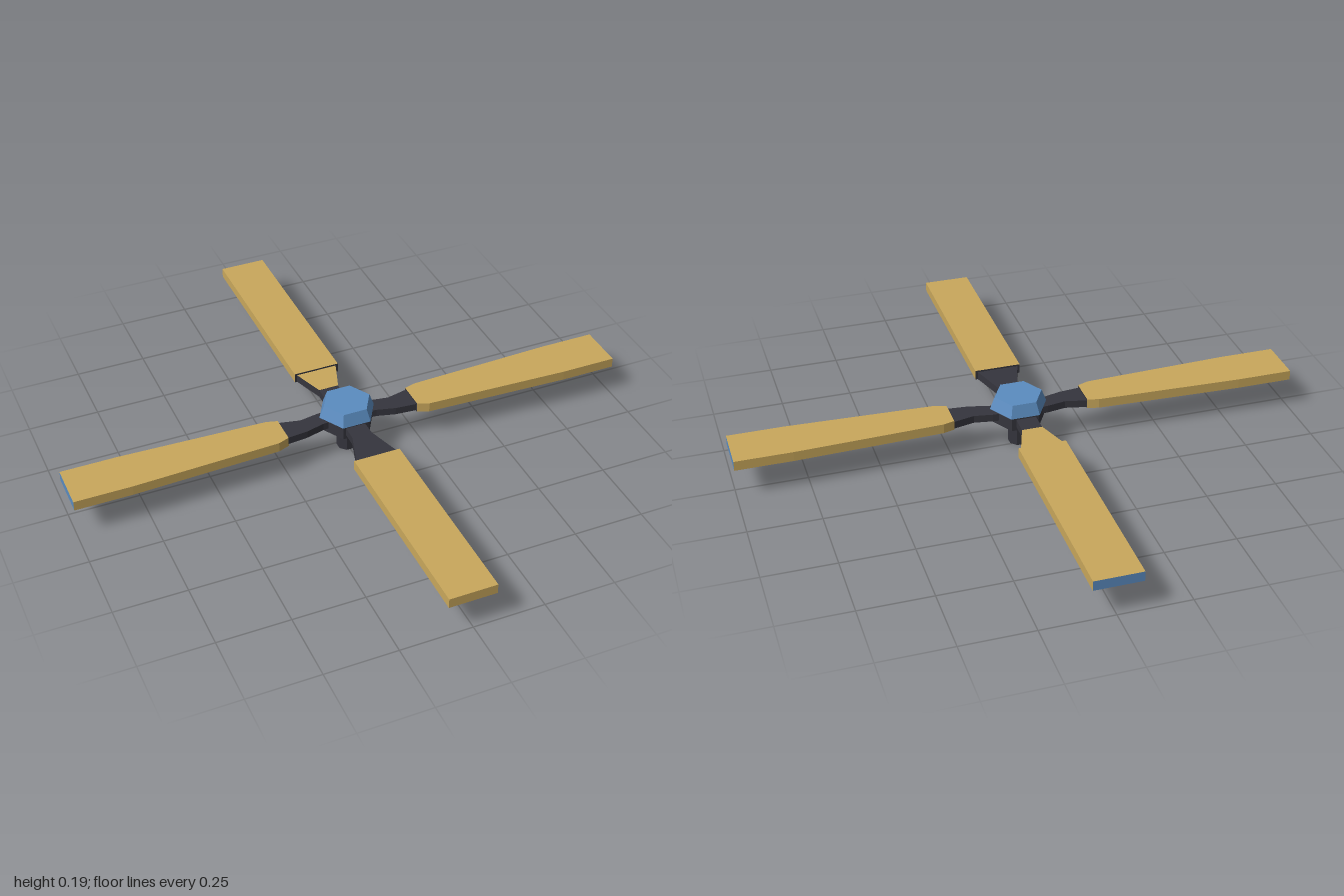
import * as THREE from 'three';

const mat = (name, color) => {
  const m = new THREE.MeshStandardMaterial({ color });
  m.name = name;
  return m;
};

// Flat bar running along +z. Each station is [distance, halfWidth, sideShift].
// mats: top, underside, long sides, outer end, inner end.
function bar(name, stations, y0, y1, mats) {
  const pos = [];
  const geo = new THREE.BufferGeometry();
  const point = (i, side, y) => {
    const [d, half, shift = 0] = stations[i];
    return [shift + side * half, y, d];
  };
  const quad = (a, b, c, d) => [a, b, c, a, c, d].forEach((p) => pos.push(...p));
  const group = (index, build) => {
    const start = pos.length / 3;
    build();
    geo.addGroup(start, pos.length / 3 - start, index);
  };
  const last = stations.length - 1;
  const along = (fn) => { for (let i = 0; i < last; i++) fn(i, i + 1); };

  group(0, () => along((i, j) =>
    quad(point(i, -1, y1), point(j, -1, y1), point(j, 1, y1), point(i, 1, y1))));
  group(1, () => along((i, j) =>
    quad(point(i, 1, y0), point(j, 1, y0), point(j, -1, y0), point(i, -1, y0))));
  group(2, () => along((i, j) => {
    quad(point(i, 1, y0), point(i, 1, y1), point(j, 1, y1), point(j, 1, y0));
    quad(point(i, -1, y0), point(j, -1, y0), point(j, -1, y1), point(i, -1, y1));
  }));
  group(3, () =>
    quad(point(last, -1, y0), point(last, 1, y0), point(last, 1, y1), point(last, -1, y1)));
  group(4, () =>
    quad(point(0, 1, y0), point(0, -1, y0), point(0, -1, y1), point(0, 1, y1)));

  geo.setAttribute('position', new THREE.Float32BufferAttribute(pos, 3));
  geo.computeVertexNormals();
  const mesh = new THREE.Mesh(geo, mats);
  mesh.name = name;
  return mesh;
}

export function createModel() {
  const tan = mat('tan wood', 0xc9a85c);
  const blue = mat('blue metal', 0x5b8cc0);
  const dark = mat('dark metal', 0x35353d);
  const brown = mat('brown underside', 0x4f3019);
  const model = new THREE.Group();
  model.name = 'rotor';
  const hubZ = 0.018;

  // Hub: hexagonal cap, body and shaft
  const drum = (name, rTop, rBottom, y0, y1, sides, material, turn) => {
    const geo = new THREE.CylinderGeometry(rTop, rBottom, y1 - y0, sides).toNonIndexed();
    geo.rotateY(turn);
    geo.computeVertexNormals();
    const mesh = new THREE.Mesh(geo, material);
    mesh.name = name;
    mesh.position.set(0, (y0 + y1) / 2, hubZ);
    model.add(mesh);
  };
  drum('hubCap', 0.085, 0.102, 0.145, 0.19, 6, blue, Math.PI / 6);
  drum('hubBody', 0.097, 0.097, 0.095, 0.145, 6, dark, Math.PI / 6);
  drum('shaft', 0.036, 0.036, 0, 0.097, 8, dark, Math.PI / 8);

  // Left and right: tapered blades on waisted arms
  for (const s of [1, -1]) {
    const side = new THREE.Group();
    side.name = s > 0 ? 'leftBlade' : 'rightBlade';
    side.rotation.y = s * Math.PI / 2;
    const c = (z) => -s * z;
    side.add(
      bar('blade', [[0.24, 0.05, c(0.029)], [0.28, 0.063, c(0.031)],
        [0.8, 0.083, c(0.032)], [1, 0.083, c(0.032)]],
      0.11, 0.145, [tan, brown, tan, blue, dark]),
      bar('arm', [[0.05, 0.03, c(0.015)], [0.1, 0.03, c(0.018)],
        [0.165, 0.033, c(0.032)], [0.242, 0.045, c(0.027)]],
      0.112, 0.139, [dark, dark, dark, dark, dark]),
    );
    model.add(side);
  }

  // Front and back: straight blades on flared arms
  const front = new THREE.Group();
  front.name = 'frontBlade';
  front.add(
    bar('blade', [[0.28, 0.083], [0.995, 0.083]], 0.11, 0.145,
      [tan, brown, tan, tan, dark]),
    bar('arm', [[0.07, 0.035], [0.155, 0.036], [0.235, 0.06], [0.282, 0.075]],
      0.11, 0.139, [dark, dark, dark, dark, dark]),
  );
  const back = new THREE.Group();
  back.name = 'backBlade';
  back.rotation.y = Math.PI;
  back.add(
    bar('blade', [[0.248, 0.083], [1, 0.083]], 0.11, 0.145,
      [tan, brown, tan, blue, dark]),
    bar('bladeRoot', [[0.135, 0.036], [0.205, 0.06], [0.25, 0.075]], 0.11, 0.139,
      [tan, dark, dark, dark, dark]),
    bar('arm', [[0.03, 0.035], [0.137, 0.036]], 0.11, 0.138,
      [dark, dark, dark, dark, dark]),
  );
  for (const g of [front, back]) {
    g.position.x = -0.003;
    model.add(g);
  }
  return model;
}
